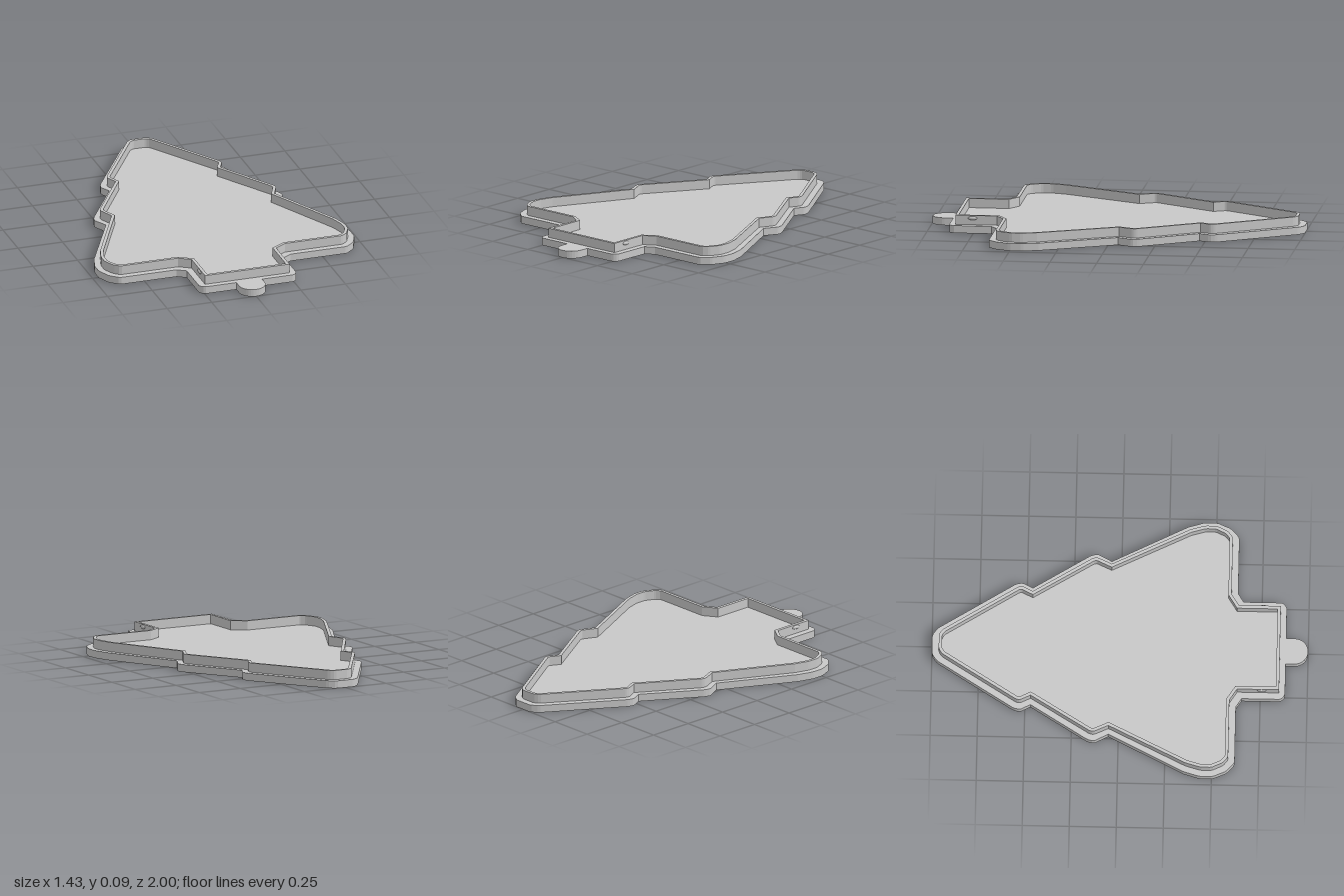
import * as THREE from 'three';

const BASE_TOP = 0.04, RIM_TOP = 0.09, WALL = 0.017;

// Right half outlines as [x, z], from the tree tip down to the trunk
const baseHalf = [
  [0.053, -1], [0.092, -0.972], [0.351, -0.56], [0.358, -0.525], [0.33, -0.47],
  [0.52, -0.165], [0.529, -0.13], [0.489, -0.053], [0.692, 0.35], [0.717, 0.435],
  [0.717, 0.505], [0.686, 0.578], [0.637, 0.622], [0.32, 0.622], [0.273, 0.652],
  [0.273, 0.86], [0.25, 0.882], [0.072, 0.882],
];
const rimHalf = [
  [0.04, -0.964], [0.068, -0.946], [0.318, -0.547], [0.321, -0.525], [0.294, -0.47],
  [0.489, -0.152], [0.492, -0.13], [0.457, -0.053], [0.66, 0.36], [0.683, 0.44],
  [0.683, 0.5], [0.655, 0.56], [0.622, 0.587], [0.3, 0.587], [0.237, 0.627], [0.237, 0.85],
];

// Full outline in shape space (x, -z), clockwise
function mirrored(half) {
  const right = half.map(([x, z]) => new THREE.Vector2(x, -z));
  const left = right.map((p) => new THREE.Vector2(-p.x, p.y)).reverse();
  return [...right, ...left];
}

// Softens the moderate outward corners of a clockwise outline
function softened(points) {
  const n = points.length;
  return points.flatMap((p, i) => {
    const a = points[(i + n - 1) % n].clone().sub(p);
    const b = points[(i + 1) % n].clone().sub(p);
    const turn = Math.PI - Math.acos(a.dot(b) / (a.length() * b.length()));
    if (a.cross(b) < 0 || turn < 0.25 || turn > 1.05) return [p];
    const cut = Math.min(0.008, 0.25 * Math.min(a.length(), b.length()));
    return [a, b].map((v) => v.setLength(cut).add(p));
  });
}

// Mitred inward offset of a clockwise outline
function inset(points, d) {
  const n = points.length;
  const inward = (a, b) => {
    const e = b.clone().sub(a).normalize();
    return new THREE.Vector2(e.y, -e.x);
  };
  return points.map((p, i) => {
    const n1 = inward(points[(i + n - 1) % n], p);
    const n2 = inward(p, points[(i + 1) % n]);
    return n1.clone().add(n2).multiplyScalar(d / (1 + n1.dot(n2))).add(p);
  });
}

// Extrudes a plan outline upwards from y0 to y1
function slab(shape, y0, y1) {
  const g = new THREE.ExtrudeGeometry(shape, { depth: y1 - y0, bevelEnabled: false });
  return g.rotateX(-Math.PI / 2).translate(0, y0, 0);
}

export function createModel() {
  const group = new THREE.Group();
  const grey = new THREE.MeshStandardMaterial({ color: 0xc8c8c8 });
  grey.name = 'plain grey';

  const add = (name, geometry) => {
    const mesh = new THREE.Mesh(geometry, grey);
    mesh.name = name;
    group.add(mesh);
    return mesh;
  };

  // Base plate with the rounded pull tab below the trunk
  const tab = [];
  for (let i = 0; i <= 16; i++) {
    const a = (i / 16) * Math.PI;
    tab.push(new THREE.Vector2(0.072 * Math.cos(a), -0.928 - 0.072 * Math.sin(a)));
  }
  const outline = mirrored(baseHalf);
  outline.splice(baseHalf.length, 0, ...tab);
  add('basePlate', slab(new THREE.Shape(softened(outline)), 0, BASE_TOP));

  // Thin raised rim; its hole runs opposite to the outline so the inner wall faces in
  const rimOutline = softened(mirrored(rimHalf));
  const rim = new THREE.Shape(rimOutline);
  rim.holes.push(new THREE.Path(inset(rimOutline, WALL).reverse()));
  add('rim', slab(rim, BASE_TOP, RIM_TOP));

  // Small snap bumps on both sides of the trunk
  for (const side of [-1, 1]) {
    const bump = add(side > 0 ? 'leftSnapBump' : 'rightSnapBump', new THREE.SphereGeometry(1, 16, 10));
    bump.scale.set(0.008, 0.01, 0.025);
    bump.position.set(side * 0.237, 0.075, 0.758);
  }
  return group;
}
